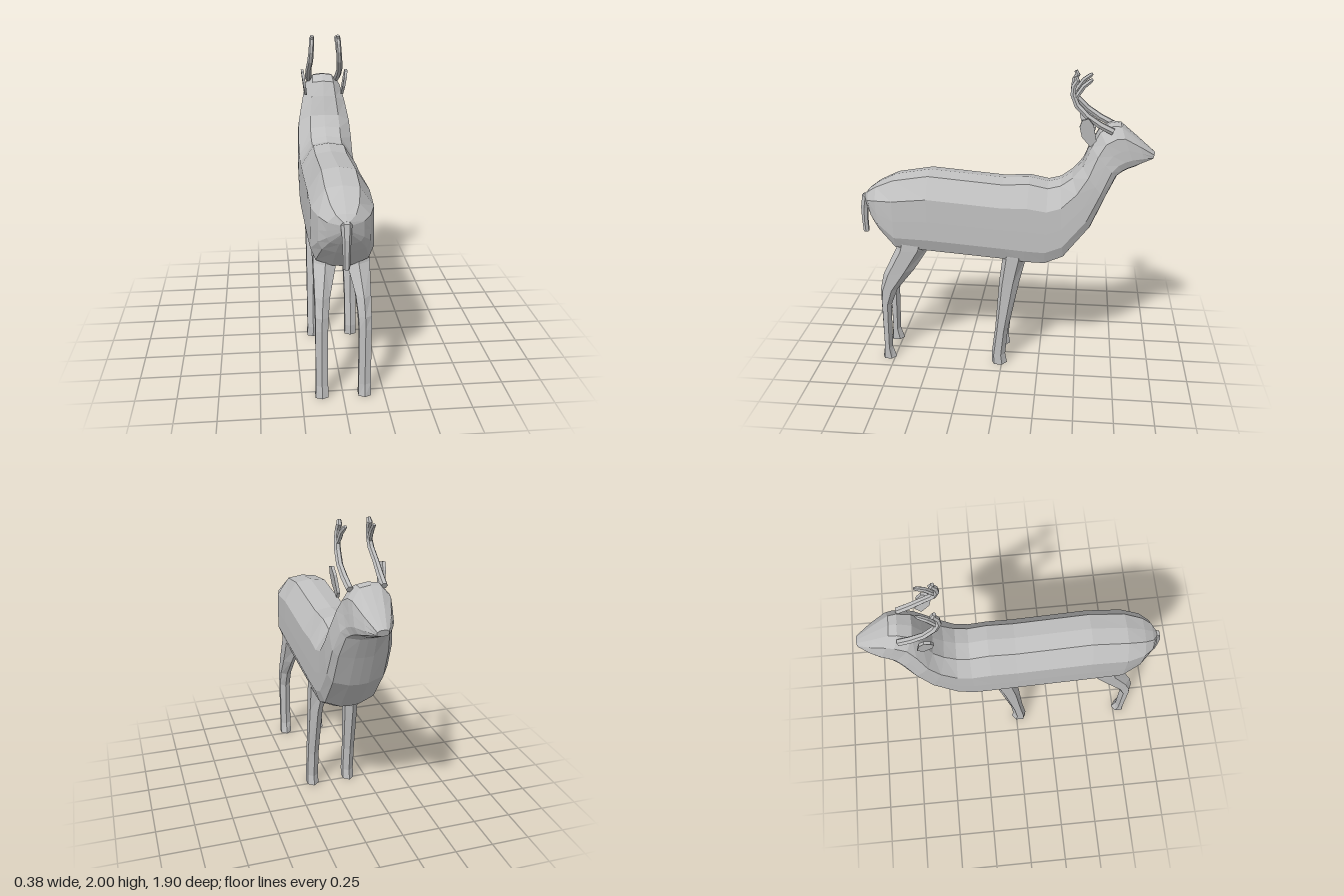
import * as THREE from 'three';

const coat = new THREE.MeshStandardMaterial({ color: 0xc0c0c0, flatShading: true });
coat.name = 'coat grey';

// Closed skin through rings of equal point count; ends capped, faces turned outward.
function loft(name, rings) {
  const n = rings[0].length;
  const pts = rings.flat();
  const tris = [];
  for (let i = 0; i < rings.length - 1; i++) {
    for (let j = 0; j < n; j++) {
      const a = i * n + j, b = i * n + (j + 1) % n;
      tris.push([a, b, b + n], [a, b + n, a + n]);
    }
  }
  const last = (rings.length - 1) * n;
  for (let j = 1; j < n - 1; j++) tris.push([0, j + 1, j], [last, last + j, last + j + 1]);

  const volume = tris.reduce((v, [a, b, c]) => v + pts[a].dot(pts[b].clone().cross(pts[c])), 0);
  const index = tris.flatMap(([a, b, c]) => (volume > 0 ? [a, b, c] : [a, c, b]));
  const indexed = new THREE.BufferGeometry().setFromPoints(pts);
  indexed.setIndex(index);
  const geometry = indexed.toNonIndexed();
  geometry.computeVertexNormals();
  const mesh = new THREE.Mesh(geometry, coat);
  mesh.name = name;
  return mesh;
}

// Half outline of the torso: [distance from top to bottom, share of half width]
const torsoHalf = [[0, 0], [0.03, 0.54], [0.26, 0.98], [0.53, 1], [0.76, 1], [0.91, 0.84], [0.99, 0.32]];
const torsoOutline = [
  ...torsoHalf, [1, 0],
  ...torsoHalf.slice(1).reverse().map(([t, w]) => [t, -w]),
];

// Stations: top z, top y, bottom z, bottom y, half width
const torsoStations = [
  [0.92, 1.17, 0.905, 1.08, 0.035],
  [0.89, 1.205, 0.86, 1.01, 0.105],
  [0.83, 1.25, 0.81, 0.94, 0.15],
  [0.71, 1.31, 0.70, 0.81, 0.185],
  [0.48, 1.35, 0.48, 0.79, 0.19],
  [0, 1.31, 0, 0.755, 0.19],
  [-0.17, 1.32, -0.15, 0.735, 0.19],
  [-0.29, 1.295, -0.28, 0.735, 0.19],
  [-0.37, 1.315, -0.40, 0.79, 0.19],
  [-0.44, 1.365, -0.57, 1.015, 0.19],
  [-0.50, 1.435, -0.66, 1.23, 0.182],
  [-0.55, 1.56, -0.725, 1.37, 0.155],
  [-0.60, 1.655, -0.76, 1.39, 0.136],
  [-0.68, 1.695, -0.79, 1.405, 0.125],
  [-0.73, 1.69, -0.83, 1.42, 0.115],
  [-0.84, 1.60, -0.89, 1.45, 0.08],
  [-0.948, 1.51, -0.937, 1.47, 0.035],
];

function makeTorso() {
  return loft('bodyNeckAndHead', torsoStations.map(([tz, ty, bz, by, w]) =>
    torsoOutline.map(([t, k]) => new THREE.Vector3(
      w * k, THREE.MathUtils.lerp(ty, by, t), THREE.MathUtils.lerp(tz, bz, t)))));
}

// Six-sided leg. Stations: rear y, rear z, front y, front z, inner x, outer x
function makeLeg(name, side, stations) {
  const outline = [[1, 0.18], [1, 0.7], [0.5, 1], [0, 0.7], [0, 0.18], [0.5, 0]];
  return loft(name, stations.map(([ry, rz, fy, fz, xi, xo]) =>
    outline.map(([u, v]) => new THREE.Vector3(
      side * THREE.MathUtils.lerp(xi, xo, u),
      THREE.MathUtils.lerp(ry, fy, v),
      THREE.MathUtils.lerp(rz, fz, v)))));
}

const hindStations = [
  [0, 0.835, 0, 0.74, 0.092, 0.168],
  [0.08, 0.823, 0.08, 0.766, 0.092, 0.166],
  [0.45, 0.825, 0.41, 0.757, 0.092, 0.166],
  [0.53, 0.824, 0.53, 0.71, 0.088, 0.166],
  [0.64, 0.80, 0.68, 0.59, 0.075, 0.166],
  [0.82, 0.71, 0.84, 0.485, 0.03, 0.168],
  [0.94, 0.68, 0.94, 0.46, 0.03, 0.165],
];
const foreStations = [
  [0, 0.068, 0, -0.035, 0.092, 0.168],
  [0.07, 0.07, 0.07, -0.023, 0.092, 0.166],
  [0.27, 0.045, 0.25, -0.04, 0.092, 0.166],
  [0.62, 0.018, 0.62, -0.115, 0.08, 0.166],
  [0.81, -0.005, 0.80, -0.16, 0.035, 0.168],
  [0.92, -0.01, 0.92, -0.17, 0.035, 0.165],
];

// Tapered limb following points [x, y, z, radius], rings square to the path in the yz plane
function makeHorn(name, side, path) {
  const sides = 6;
  return loft(name, path.map(([x, y, z, r], i) => {
    const a = path[Math.max(i - 1, 0)], b = path[Math.min(i + 1, path.length - 1)];
    const dir = new THREE.Vector2(b[1] - a[1], b[2] - a[2]).normalize();
    return Array.from({ length: sides }, (_, j) => {
      const t = (j / sides) * Math.PI * 2;
      return new THREE.Vector3(
        side * (x + r * Math.cos(t)),
        y - dir.y * r * Math.sin(t),
        z + dir.x * r * Math.sin(t));
    });
  }));
}

const beamPath = [
  [0.10, 1.66, -0.68, 0.022], [0.105, 1.70, -0.60, 0.022], [0.108, 1.755, -0.52, 0.02],
  [0.10, 1.82, -0.455, 0.02], [0.095, 1.885, -0.428, 0.018],
  [0.092, 1.935, -0.432, 0.017], [0.09, 1.968, -0.452, 0.018], [0.088, 1.992, -0.44, 0.012],
];
const tinePath = [
  [0.098, 1.85, -0.437, 0.014], [0.092, 1.89, -0.462, 0.016],
  [0.09, 1.935, -0.492, 0.016], [0.085, 1.965, -0.53, 0.014], [0.083, 1.975, -0.544, 0.008],
];
const tailPath = [
  [0, 1.155, 0.87, 0.035], [0, 1.145, 0.918, 0.032], [0, 1.07, 0.933, 0.026],
  [0, 0.98, 0.936, 0.022], [0, 0.895, 0.932, 0.02],
];

// Leaf-shaped ear, leaning outward toward the tip
function makeEar(side) {
  const outline = [
    [-0.545, 1.57], [-0.49, 1.635], [-0.475, 1.70], [-0.49, 1.742],
    [-0.528, 1.752], [-0.56, 1.71], [-0.58, 1.61],
  ];
  const ring = (offset) => outline.map(([z, y]) =>
    new THREE.Vector3(side * (0.118 + (y - 1.57) * 0.14 + offset), y, z));
  return loft('ear', [ring(0), ring(0.018)]);
}

export function createModel() {
  const model = new THREE.Group();
  model.name = 'deer';
  model.add(makeTorso(), makeHorn('tail', 1, tailPath));

  for (const side of [1, -1]) {
    const antler = new THREE.Group();
    antler.name = 'antler';
    antler.add(makeHorn('antlerBeam', side, beamPath), makeHorn('antlerTine', side, tinePath));
    model.add(
      makeLeg('hindLeg', side, hindStations),
      makeLeg('foreLeg', side, foreStations),
      makeEar(side),
      antler,
    );
  }
  return model;
}
